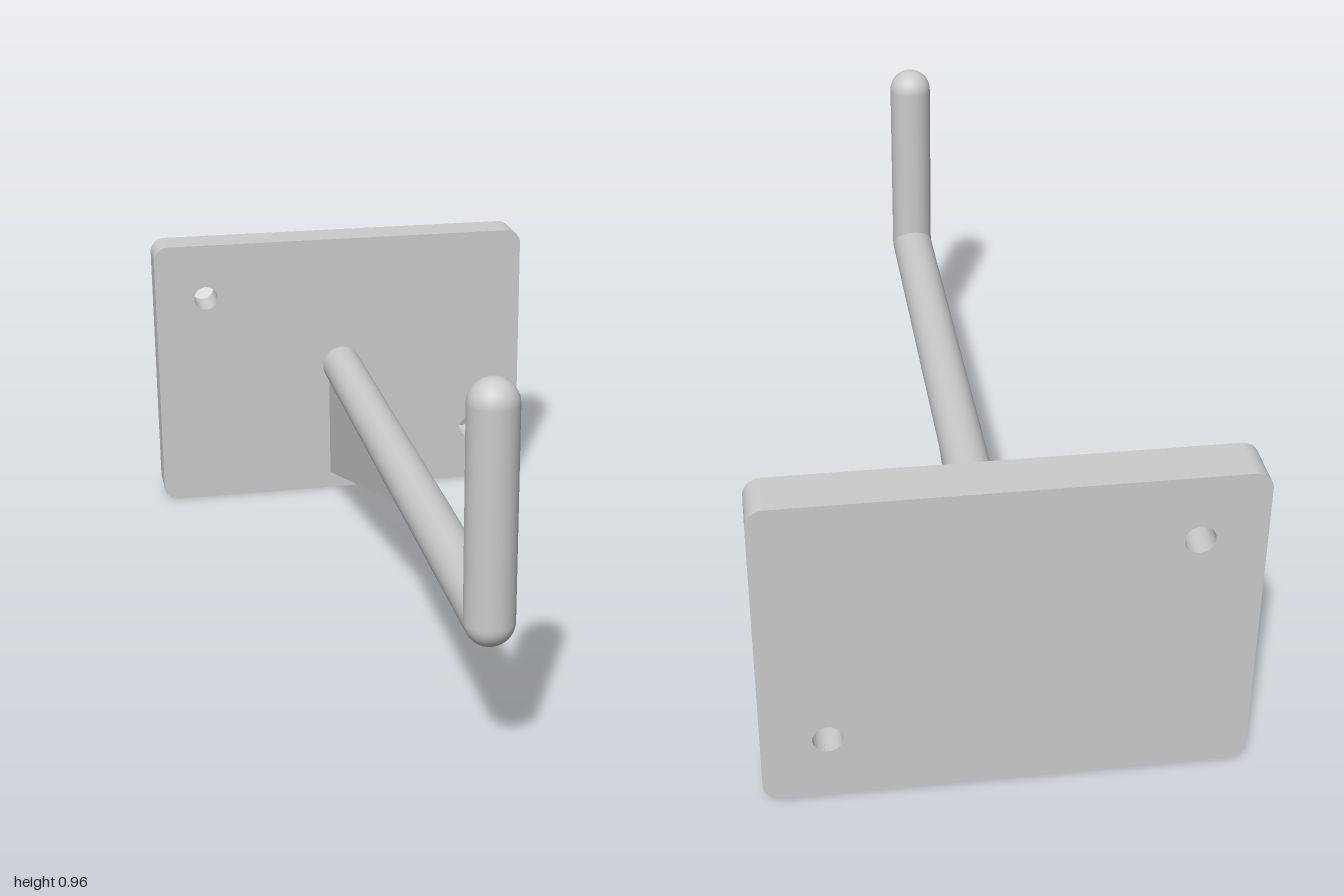
import * as THREE from 'three';

const material = new THREE.MeshStandardMaterial({ color: 0xcccccc });

const ROD_R = 0.058;
const ROD_Y = 0.402;   // height of the arm's axis
const TIP_Z = 0.942;   // axis of the upright tip
const TIP_TOP = 0.902; // centre of the domed end
const PLATE_FRONT = -0.88;

function part(name, geometry) {
  const mesh = new THREE.Mesh(geometry, material);
  mesh.name = name;
  return mesh;
}

// Rounded wall plate with two diagonal screw holes
function wallPlate() {
  const w = 0.56, h = 0.8, r = 0.042;
  const shape = new THREE.Shape();
  shape.absarc(w - r, r, r, -Math.PI / 2, 0);
  shape.absarc(w - r, h - r, r, 0, Math.PI / 2);
  shape.absarc(-w + r, h - r, r, Math.PI / 2, Math.PI);
  shape.absarc(-w + r, r, r, Math.PI, Math.PI * 1.5);
  shape.closePath();
  for (const [x, y] of [[-0.41, 0.638], [0.408, 0.165]]) {
    shape.holes.push(new THREE.Path().absarc(x, y, 0.035, 0, Math.PI * 2, true));
  }
  const geometry = new THREE.ExtrudeGeometry(shape, { depth: 0.12, bevelEnabled: false, curveSegments: 16 });
  geometry.translate(0, 0, -1);
  return part('wallPlate', geometry);
}

// Horizontal arm, running from the plate to the elbow
function arm() {
  const length = TIP_Z - PLATE_FRONT;
  const geometry = new THREE.CylinderGeometry(ROD_R, ROD_R, length, 40, 1, true);
  geometry.rotateX(Math.PI / 2);
  geometry.translate(0, ROD_Y, PLATE_FRONT + length / 2);
  return part('arm', geometry);
}

// Upright tip, with a rounded elbow below and a dome on top
function uprightTip() {
  const geometry = new THREE.CapsuleGeometry(ROD_R, TIP_TOP - ROD_Y, 12, 40);
  geometry.translate(0, (TIP_TOP + ROD_Y) / 2, TIP_Z);
  return part('uprightTip', geometry);
}

// Triangular brace under the arm, its upper edge sunk into the rod
function brace() {
  const width = 0.08;
  const shape = new THREE.Shape([
    new THREE.Vector2(PLATE_FRONT, 0.05),
    new THREE.Vector2(0.28, 0.4),
    new THREE.Vector2(PLATE_FRONT, 0.4),
  ]);
  const geometry = new THREE.ExtrudeGeometry(shape, { depth: width, bevelEnabled: false });
  geometry.rotateY(-Math.PI / 2); // profile x becomes z
  geometry.translate(width / 2, 0, 0);
  return part('brace', geometry);
}

export function createModel() {
  const model = new THREE.Group();
  model.name = 'wallHook';
  model.add(wallPlate(), arm(), uprightTip(), brace());
  return model;
}
